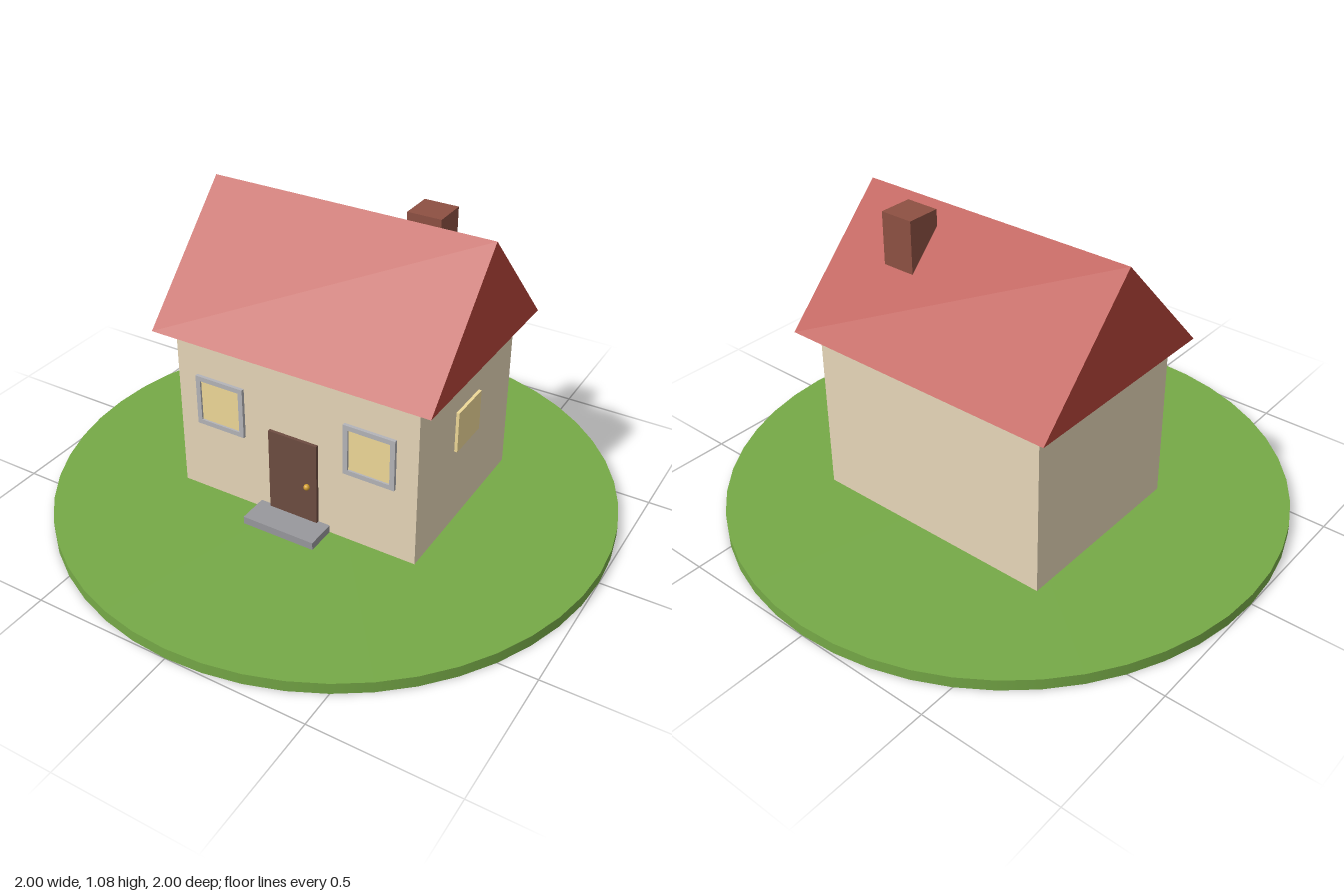
import * as THREE from 'three';

const material = (color) => new THREE.MeshStandardMaterial({ color });

const GRASS = material(0x76a947);
const WALL = material(0xe6d6b8);
const ROOF = material(0xb5443a);
const BRICK = material(0x8d5042);
const WOOD = material(0x6d4c41);
const STONE = material(0x98989c);
const FRAME = material(0xb4b4b8);
const GLASS = material(0xeed898);
const BRASS = material(0xd4a030);

function addMesh(parent, name, geometry, mat, x = 0, y = 0, z = 0) {
  const mesh = new THREE.Mesh(geometry, mat);
  mesh.name = name;
  mesh.position.set(x, y, z);
  parent.add(mesh);
  return mesh;
}

// Box given by its extents along each axis
function addBox(parent, name, mat, [x0, x1], [y0, y1], [z0, z1]) {
  const geometry = new THREE.BoxGeometry(x1 - x0, y1 - y0, z1 - z0);
  return addMesh(parent, name, geometry, mat, (x0 + x1) / 2, (y0 + y1) / 2, (z0 + z1) / 2);
}

// Triangular prism running along x
function roofGeometry(length, halfDepth, height) {
  const gable = new THREE.Shape([
    new THREE.Vector2(-halfDepth, 0),
    new THREE.Vector2(halfDepth, 0),
    new THREE.Vector2(0, height),
  ]);
  return new THREE.ExtrudeGeometry(gable, { depth: length, bevelEnabled: false })
    .translate(0, 0, -length / 2)
    .rotateY(Math.PI / 2);
}

// Square window surround with an open centre
function frameGeometry(outer, inner, depth) {
  const square = (s) => [[-s, -s], [s, -s], [s, s], [-s, s]].map(([x, y]) => new THREE.Vector2(x, y));
  const shape = new THREE.Shape(square(outer / 2));
  shape.holes.push(new THREE.Path(square(inner / 2).reverse()));
  return new THREE.ExtrudeGeometry(shape, { depth, bevelEnabled: false });
}

export function createModel() {
  const model = new THREE.Group();
  model.name = 'house';

  // Lawn
  addMesh(model, 'lawn', new THREE.CylinderGeometry(1, 1, 0.04, 48), GRASS, 0, 0.02, 0);

  // Walls, roof and chimney
  addBox(model, 'walls', WALL, [-0.463, 0.463], [0.04, 0.656], [-0.42, 0.271]);
  addMesh(model, 'roof', roofGeometry(1.048, 0.402, 0.421), ROOF, 0, 0.655, -0.078);
  addBox(model, 'chimney', BRICK, [0.184, 0.307], [0.8, 1.076], [-0.256, -0.134]);

  // Door, knob and step
  addBox(model, 'door', WOOD, [-0.094, 0.094], [0.04, 0.38], [0.262, 0.283]);
  addMesh(model, 'doorKnob', new THREE.SphereGeometry(0.011, 12, 8), BRASS, 0.06, 0.21, 0.29);
  addBox(model, 'doorStep', STONE, [-0.138, 0.138], [0.04, 0.068], [0.27, 0.382]);

  // Front windows
  for (const x of [-0.29, 0.29]) {
    const frontWindow = new THREE.Group();
    frontWindow.name = x > 0 ? 'leftWindow' : 'rightWindow';
    frontWindow.position.set(x, 0.409, 0.271);
    model.add(frontWindow);
    addMesh(frontWindow, 'windowFrame', frameGeometry(0.19, 0.155, 0.014), FRAME, 0, 0, -0.002);
    addBox(frontWindow, 'windowPane', GLASS, [-0.08, 0.08], [-0.08, 0.08], [-0.005, 0.005]);
  }

  // Side window
  addBox(model, 'sideWindow', GLASS, [0.455, 0.474], [0.334, 0.486], [-0.157, 0.011]);

  return model;
}
